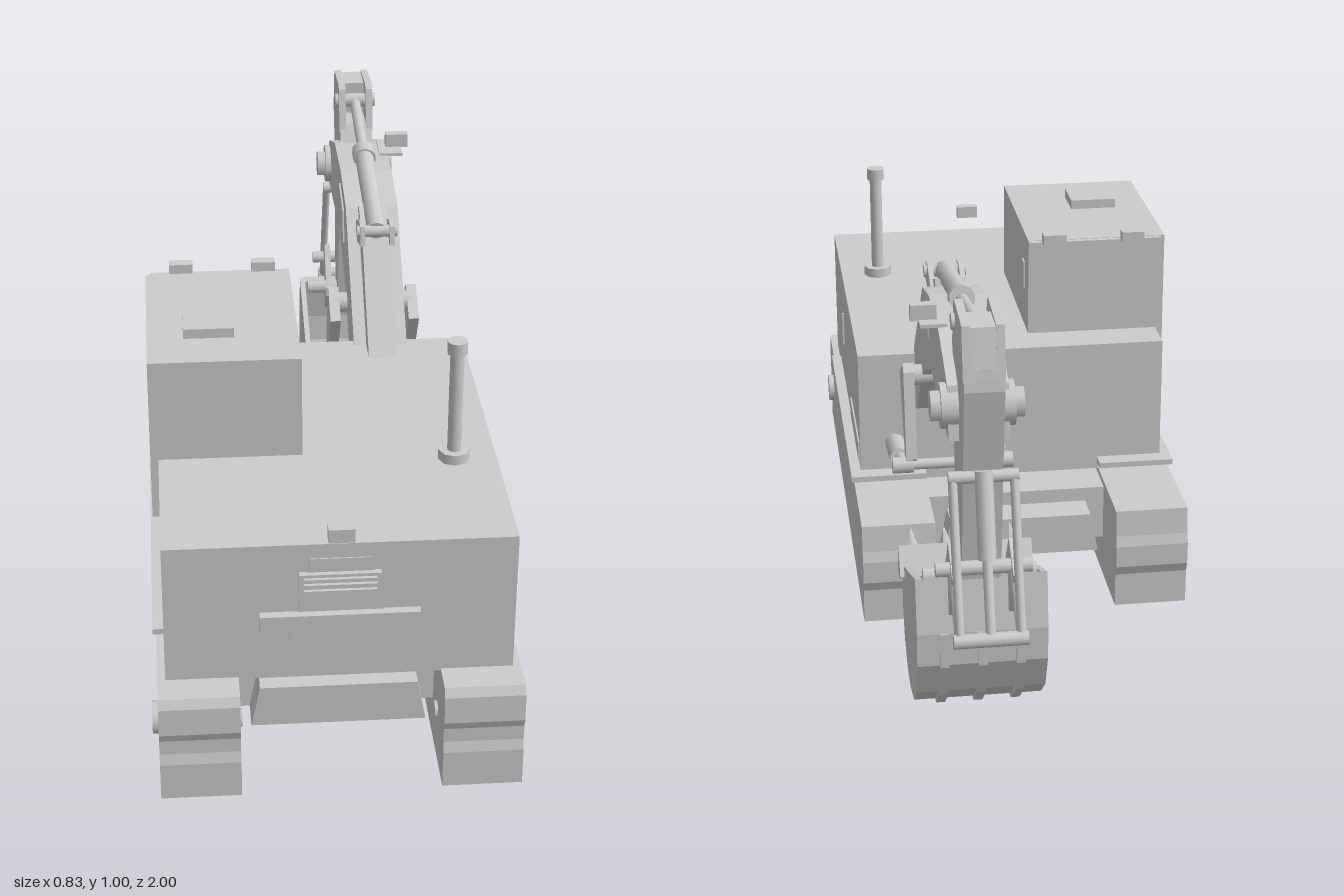
import * as THREE from 'three';

const paint = new THREE.MeshStandardMaterial({ color: 0xcccccc });
paint.name = 'light grey';

export function createModel() {
  const model = new THREE.Group();
  model.name = 'excavator';
  const CX = 0.175; // centre plane of boom, arm and bucket

  const add = (name, geometry) => {
    const mesh = new THREE.Mesh(geometry, paint);
    mesh.name = name;
    model.add(mesh);
    return mesh;
  };
  // box given by its extents
  const box = (name, x0, x1, y0, y1, z0, z1) =>
    add(name, new THREE.BoxGeometry(x1 - x0, y1 - y0, z1 - z0)
      .translate((x0 + x1) / 2, (y0 + y1) / 2, (z0 + z1) / 2));
  // side outline in [z, y], extruded from x0 to x1
  const slab = (name, points, x0, x1) => {
    const shape = new THREE.Shape(points.map(p => new THREE.Vector2(p[0], p[1])));
    const g = new THREE.ExtrudeGeometry(shape, { depth: x1 - x0, bevelEnabled: false });
    return add(name, g.rotateY(-Math.PI / 2).translate(x1, 0, 0));
  };
  // outline in [x, y], extruded from z0 to z1
  const plate = (name, points, z0, z1) => {
    const shape = new THREE.Shape(points.map(p => new THREE.Vector2(p[0], p[1])));
    return add(name, new THREE.ExtrudeGeometry(shape, { depth: z1 - z0, bevelEnabled: false }).translate(0, 0, z0));
  };
  // round bar between two points
  const bar = (name, a, b, r, sides = 10, r2 = r) => {
    const p = new THREE.Vector3(...a), q = new THREE.Vector3(...b);
    const d = q.clone().sub(p);
    const g = new THREE.CylinderGeometry(r2, r, d.length(), sides);
    g.applyQuaternion(new THREE.Quaternion().setFromUnitVectors(new THREE.Vector3(0, 1, 0), d.normalize()));
    return add(name, g.translate(...p.add(q).multiplyScalar(0.5).toArray()));
  };
  const pin = (name, z, y, x0, x1, r, sides = 10) => bar(name, [x0, y, z], [x1, y, z], r, sides);

  // Crawler tracks, guards and side panels
  const trackOutline = [[1, 0], [1, 0.09], [0.993, 0.115], [0.993, 0.15], [1, 0.17], [0.997, 0.235], [0.985, 0.255],
    [-0.285, 0.255], [-0.292, 0.19], [-0.3, 0.165], [-0.3, 0.11], [-0.29, 0.085], [-0.29, 0]];
  for (const s of [-1, 1]) {
    const span = (a, b) => (s > 0 ? [a, b] : [-b, -a]);
    slab('track', trackOutline, ...span(0.222, 0.4));
    pin('trackWheelHub', 0.88, 0.133, ...span(0.39, 0.414), 0.037, 12);
    pin('trackInnerHub', 0.88, 0.12, ...span(0.215, 0.225), 0.02, 8);
    box('trackGuard', ...span(0.22, 0.408), 0.268, 0.282, -0.06, 0.757);
    box('sidePanel', ...span(0.378, 0.386), 0.3, 0.35, 0, 0.29);
  }

  // Undercarriage
  box('undercarriage', -0.224, 0.224, 0.1, 0.24, -0.11, 0.81);
  plate('undercarriageNose', [[-0.195, 0.105], [0.195, 0.105], [0.175, 0.205], [-0.175, 0.205]], -0.19, 0.89);
  bar('turntable', [0, 0.23, 0.4], [0, 0.26, 0.4], 0.21, 24);

  // Upper body
  box('body', -0.382, 0.382, 0.25, 0.59, -0.018, 0.913);
  box('doorHandle', 0.38, 0.387, 0.4, 0.49, 0.543, 0.549);
  box('rearPlate', -0.175, 0.173, 0.38, 0.422, 0.91, 0.934);
  plate('rearPanel', [[-0.11, 0.35], [0.11, 0.35], [0.065, 0.555], [-0.065, 0.555]], 0.91, 0.916);
  box('grille', -0.09, 0.087, 0.47, 0.522, 0.91, 0.928);
  for (const y of [0.482, 0.497, 0.511]) box('grilleSlat', -0.08, 0.077, y - 0.004, y + 0.004, 0.925, 0.936);
  box('rearCamera', -0.03, 0.027, 0.618, 0.65, 0.93, 0.955);

  // Cab
  box('cab', -0.4, -0.056, 0.44, 0.836, 0.08, 0.535);
  box('roofHatch', -0.317, -0.202, 0.835, 0.859, 0.315, 0.42);
  box('cabVisor', -0.39, -0.056, 0.822, 0.835, 0.066, 0.082);
  for (const x of [-0.315, -0.118]) box('cabLight', x - 0.028, x + 0.028, 0.833, 0.858, 0.048, 0.076);
  box('cabMirror', -0.068, -0.052, 0.69, 0.76, 0.14, 0.17);

  // Exhaust
  bar('exhaustBase', [0.285, 0.585, 0.573], [0.285, 0.614, 0.573], 0.036, 8);
  bar('exhaustPipe', [0.285, 0.6, 0.573], [0.285, 0.87, 0.573], 0.016);
  bar('exhaustCap', [0.285, 0.858, 0.573], [0.285, 0.888, 0.573], 0.023);

  // Boom
  slab('boom', [[0.06, 0.45], [-0.02, 0.445], [-0.07, 0.465], [-0.2, 0.6], [-0.25, 0.64], [-0.435, 0.72], [-0.6, 0.705],
    [-0.795, 0.7], [-0.79, 0.74], [-0.775, 0.82], [-0.73, 0.84], [-0.59, 0.888], [-0.4, 0.885], [-0.25, 0.85],
    [-0.02, 0.62], [0.06, 0.53]], 0.109, 0.241);
  slab('boomSpine', [[0.075, 0.59], [0, 0.58], [-0.25, 0.84], [-0.24, 0.865], [-0.13, 0.825]], 0.14, 0.21);
  for (const x of [0.105, 0.239])
    slab('boomSidePlate', [[-0.28, 0.74], [-0.4, 0.78], [-0.41, 0.85], [-0.3, 0.82]], x, x + 0.006);
  pin('armPivot', -0.75, 0.765, 0.095, 0.255, 0.05, 16);
  pin('armPivotBolt', -0.75, 0.765, 0.074, 0.276, 0.035, 8);
  box('boomLight', 0.24, 0.298, 0.89, 0.926, -0.57, -0.545);
  box('boomLightBracket', 0.22, 0.28, 0.884, 0.892, -0.6, -0.5);

  // Boom lift cylinders with hanger brackets
  for (const s of [-1, 1]) {
    const x = CX + s * 0.12, h = CX + s * 0.1;
    slab('liftBracket', [[-0.13, 0.59], [-0.215, 0.647], [-0.235, 0.63], [-0.272, 0.42], [-0.245, 0.4]], h - 0.013, h + 0.013);
    pin('bracketBoss', -0.2, 0.61, Math.min(h, CX), Math.max(h, CX), 0.025);
    bar('liftCylinder', [x, 0.35, 0], [x, 0.38, -0.17], 0.024);
    bar('liftRod', [x, 0.38, -0.16], [x, 0.4, -0.255], 0.013);
    pin('liftRodEye', -0.255, 0.4, x - 0.025, x + 0.025, 0.02);
  }
  pin('liftAxle', -0.255, 0.4, 0.035, 0.315, 0.013);

  // Arm with clevis plates at its top
  slab('arm', [[-0.67, 0.85], [-0.67, 0.74], [-0.71, 0.55], [-0.735, 0.36], [-0.815, 0.35], [-0.85, 0.61],
    [-0.892, 0.85], [-0.885, 0.9], [-0.7, 0.9]], 0.132, 0.218);
  for (const x of [0.13, 0.202])
    slab('armClevis', [[-0.69, 0.88], [-0.72, 0.99], [-0.735, 1], [-0.87, 0.99], [-0.89, 0.87]], x, x + 0.018);
  slab('armTop', [[-0.78, 0.88], [-0.78, 0.985], [-0.868, 0.985], [-0.888, 0.88]], 0.14, 0.21);

  // Arm cylinder along the boom top
  for (const x of [0.132, 0.206])
    slab('cylinderEar', [[-0.09, 0.815], [-0.1, 0.862], [-0.14, 0.865], [-0.22, 0.83], [-0.18, 0.79]], x, x + 0.012);
  pin('cylinderPin', -0.12, 0.843, 0.125, 0.225, 0.015);
  bar('armCylinder', [CX, 0.843, -0.12], [CX, 0.905, -0.47], 0.024);
  bar('armCylinderCollar', [CX, 0.9, -0.45], [CX, 0.908, -0.49], 0.03);
  bar('armRod', [CX, 0.9, -0.46], [CX, 0.95, -0.74], 0.014);
  pin('armRodPin', -0.74, 0.952, 0.122, 0.228, 0.018);

  // Bucket: open shell, cheeks and outer ribs
  const curve = [[-0.525, 0.268], [-0.478, 0.22], [-0.48, 0.145], [-0.515, 0.075], [-0.575, 0.032], [-0.65, 0.02],
    [-0.735, 0.038], [-0.8, 0.095], [-0.835, 0.18], [-0.838, 0.26], [-0.818, 0.388]];
  const offset = k => curve.map(([z, y]) => [-0.66 + (z + 0.66) * k, 0.22 + (y - 0.22) * k]);
  slab('bucketShell', [...curve, ...offset(0.93).reverse()], 0.03, 0.32);
  for (const x of [0.03, 0.306]) slab('bucketCheek', curve, x, x + 0.014);
  for (const x of [0.09, CX, 0.26]) {
    const rib = offset(1.05).slice(2, 10);
    slab('bucketRib', [...rib, ...offset(0.98).slice(2, 10).reverse()], x - 0.01, x + 0.01);
  }
  // Cutting lip and teeth
  slab('bucketLip', [[-0.475, 0.245], [-0.49, 0.305], [-0.505, 0.31], [-0.545, 0.25], [-0.52, 0.235]], 0.02, 0.33);
  for (let i = 0; i < 4; i++) {
    const x = 0.058 + i * 0.078;
    const tooth = new THREE.ConeGeometry(0.021, 0.12, 4).rotateY(Math.PI / 4).rotateX(Math.PI / 2).rotateX(-0.25);
    add('bucketTooth', tooth.translate(x, 0.29, -0.455));
  }

  // Bucket ears, pins and linkage
  for (const s of [-1, 1]) {
    const x = CX + s * 0.066;
    slab('bucketEar', [[-0.745, 0.36], [-0.83, 0.482], [-0.91, 0.43], [-0.845, 0.31], [-0.8, 0.3]], x - 0.008, x + 0.008);
    bar('linkRod', [x, 0.65, -0.86], [x, 0.32, -0.982], 0.01, 8);
    bar('bucketLink', [x, 0.32, -0.982], [x, 0.43, -0.86], 0.011, 8);
  }
  pin('bucketPin', -0.78, 0.375, 0.05, 0.3, 0.018);
  pin('bucketLinkPin', -0.86, 0.43, 0.07, 0.28, 0.016);
  pin('linkAxle', -0.982, 0.32, 0.095, 0.255, 0.016);
  pin('linkTopPin', -0.86, 0.645, 0.1, 0.25, 0.014);
  bar('bucketCylinder', [CX, 0.66, -0.865], [CX, 0.48, -0.925], 0.02);
  bar('bucketCylinderRod', [CX, 0.49, -0.92], [CX, 0.32, -0.982], 0.011);

  return model;
}
